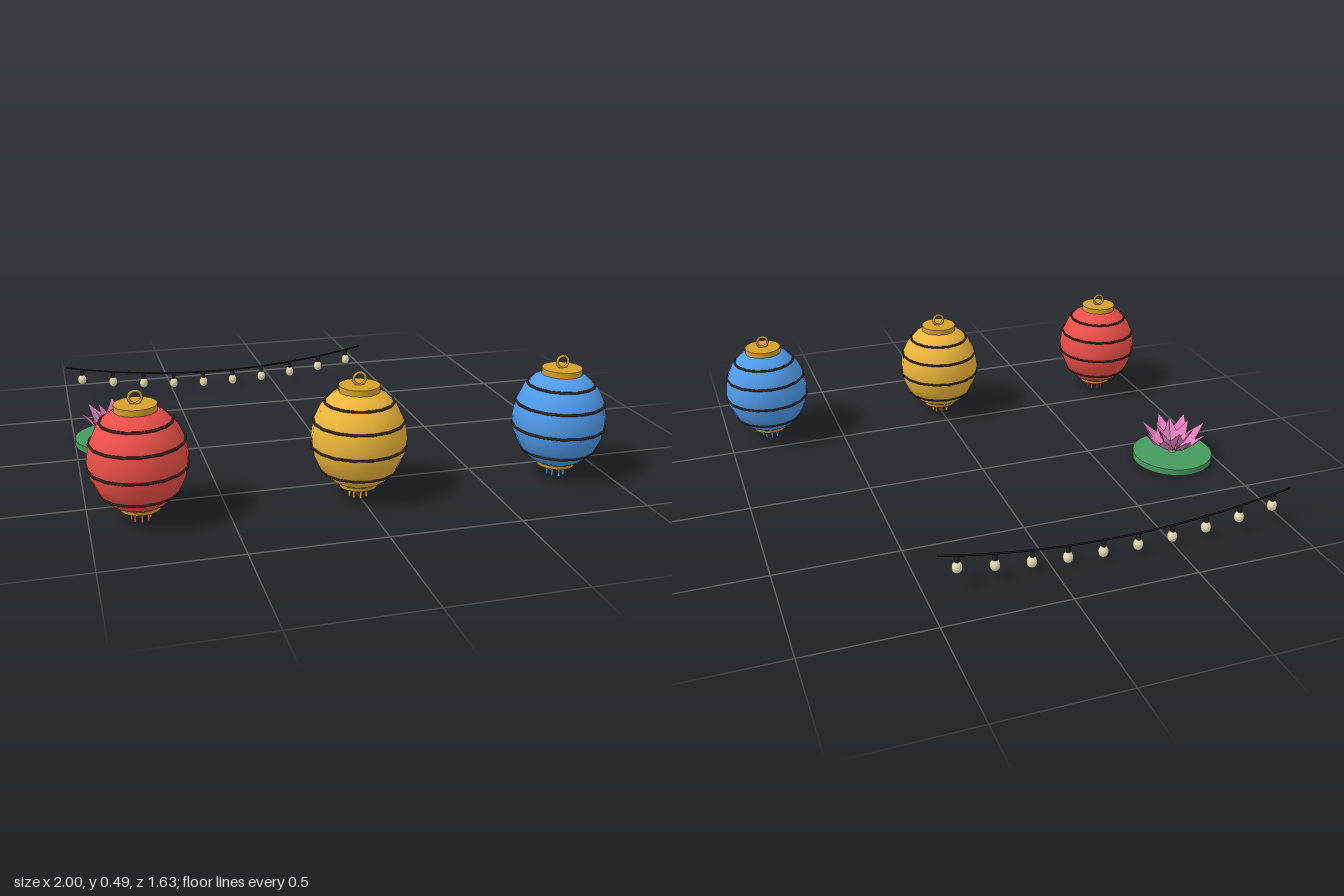
import * as THREE from 'three';

const mat = (color, extra = {}) => new THREE.MeshStandardMaterial({ color, ...extra });
const gold = mat(0xd4a02a), dark = mat(0x35261a), wireMat = mat(0x222226);

function add(parent, name, geometry, material, x = 0, y = 0, z = 0) {
  const mesh = new THREE.Mesh(geometry, material);
  mesh.name = name;
  mesh.position.set(x, y, z);
  parent.add(mesh);
  return mesh;
}

// Paper lantern: ribbed globe, two caps, hanging loop and tassel threads
function lantern(name, color) {
  const g = new THREE.Group();
  g.name = name;
  const paper = mat(color);
  const R = 0.18, H = 0.2, midY = 0.235;
  add(g, 'globe', new THREE.SphereGeometry(R, 16, 10), paper, 0, midY).scale.y = H / R;
  for (const y of [0.11, 0.206, 0.3, 0.374]) {
    const r = R * Math.sqrt(1 - ((y - midY) / H) ** 2);
    add(g, 'rib', new THREE.TorusGeometry(r, 0.005, 6, 16), dark, 0, y).rotation.x = Math.PI / 2;
  }
  add(g, 'topCap', new THREE.CylinderGeometry(0.077, 0.077, 0.028, 20), gold, 0, 0.422);
  add(g, 'bottomCap', new THREE.CylinderGeometry(0.079, 0.073, 0.028, 20), gold, 0, 0.056);
  add(g, 'hangingLoop', new THREE.TorusGeometry(0.023, 0.0055, 8, 20), gold, 0, 0.459);
  for (let i = 0; i < 8; i++) {
    const a = (i / 8) * Math.PI * 2;
    add(g, 'tassel', new THREE.CylinderGeometry(0.005, 0.005, 0.045, 6), paper,
      Math.cos(a) * 0.034, 0.0225, Math.sin(a) * 0.034);
  }
  return g;
}

// Folded diamond petal leaning outward along +x, with a raised rim either side of the crease
function petalGeometry(base, mid, tip, halfWidth, fold) {
  const b = [base[0], base[1], 0], t = [tip[0], tip[1], 0], m = [mid[0], mid[1], 0];
  const l = [mid[0] - fold, mid[1] + fold, halfWidth];
  const r = [mid[0] - fold, mid[1] + fold, -halfWidth];
  const geo = new THREE.BufferGeometry();
  const faces = [b, l, m, m, l, t, b, m, r, m, t, r];
  geo.setAttribute('position', new THREE.Float32BufferAttribute(faces.flat(), 3));
  geo.computeVertexNormals();
  return geo;
}

function lotus() {
  const g = new THREE.Group();
  g.name = 'lotus';
  const pink = mat(0xe57fbd, { flatShading: true, side: THREE.DoubleSide });
  add(g, 'lilyPad', new THREE.CylinderGeometry(0.172, 0.172, 0.028, 28), mat(0x459c60), 0, 0.014);
  const rings = [
    ['outerPetal', 8, 0, petalGeometry([0.015, 0.036], [0.093, 0.078], [0.15, 0.148], 0.038, 0.008)],
    ['innerPetal', 6, 0.3, petalGeometry([0.012, 0.036], [0.055, 0.092], [0.088, 0.157], 0.03, 0.008)],
  ];
  for (const [name, count, phase, geo] of rings) {
    for (let i = 0; i < count; i++) {
      add(g, name, geo, pink).rotation.y = phase + (i / count) * Math.PI * 2;
    }
  }
  add(g, 'seedPod', new THREE.CylinderGeometry(0.024, 0.016, 0.04, 12), mat(0xd8cc90), 0, 0.048);
  return g;
}

// Sagging wire with ten hanging bulbs
function stringLights() {
  const g = new THREE.Group();
  g.name = 'stringLights';
  const x0 = -1, x1 = 0.445, endY = 0.152, sag = 0.072;
  const at = (t) => new THREE.Vector3(x0 + (x1 - x0) * t, endY - sag * 4 * t * (1 - t), 0);
  const points = Array.from({ length: 13 }, (_, i) => at(i / 12));
  add(g, 'wire', new THREE.TubeGeometry(new THREE.CatmullRomCurve3(points), 40, 0.004, 6), wireMat);
  const cream = mat(0xe6dcb4);
  for (let i = 0; i < 10; i++) {
    const p = at((i + 0.5) / 10);
    add(g, 'socket', new THREE.CylinderGeometry(0.009, 0.009, 0.03, 8), wireMat, p.x, p.y - 0.015);
    add(g, 'bulb', new THREE.SphereGeometry(0.021, 12, 8), cream, p.x, p.y - 0.05).scale.y = 1.2;
  }
  return g;
}

export function createModel() {
  const model = new THREE.Group();
  model.name = 'festivalDecorations';
  const colors = [['redLantern', 0xee5049], ['yellowLantern', 0xeeb63a], ['blueLantern', 0x4f9bec]];
  colors.forEach(([name, color], i) => {
    const l = lantern(name, color);
    l.position.set((i - 1) * 0.813, 0, 0.627);
    model.add(l);
  });
  const flower = lotus();
  flower.position.set(-0.828, 0, -0.168);
  const lights = stringLights();
  lights.position.z = -0.797;
  model.add(flower, lights);
  return model;
}
